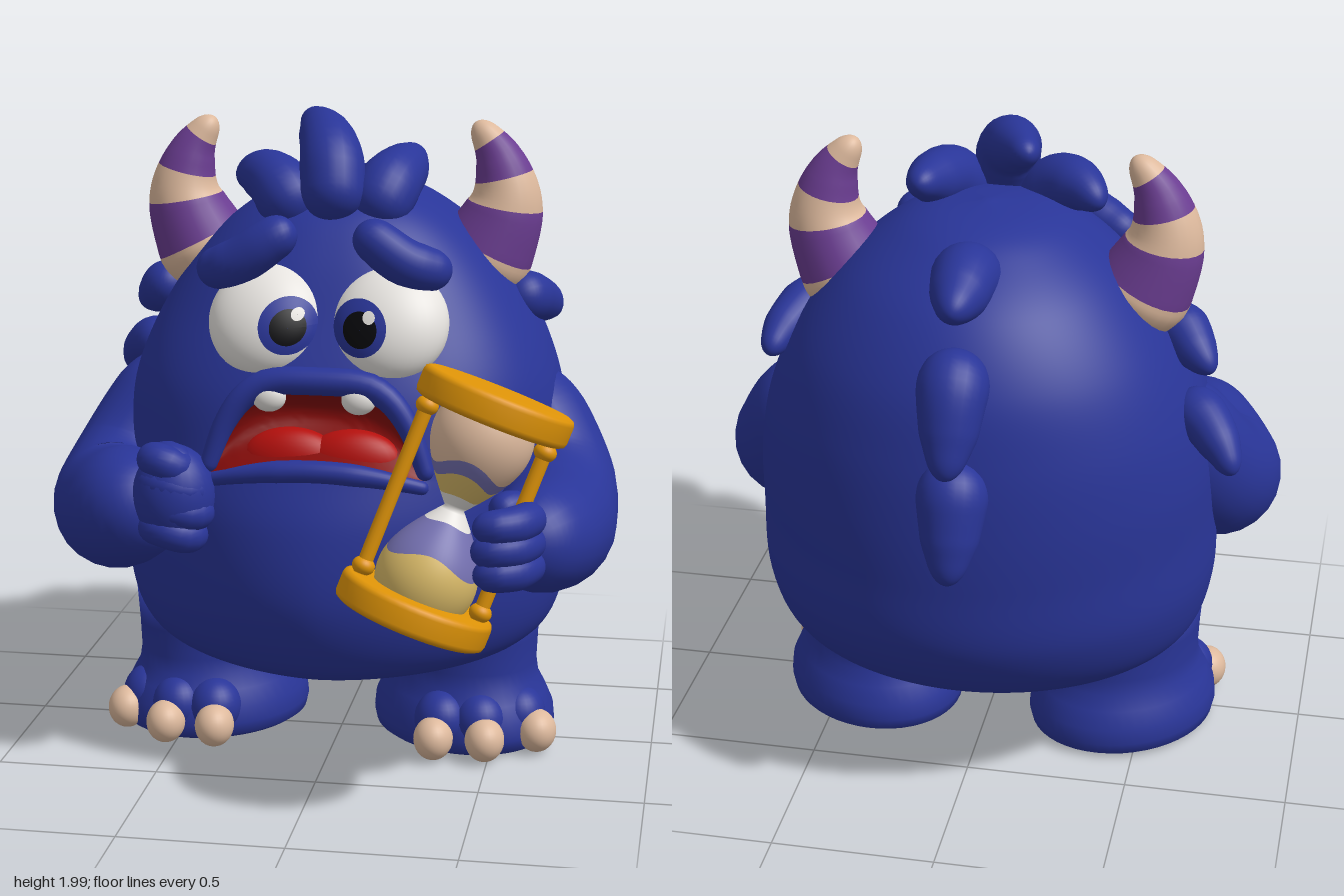
import * as THREE from 'three';
import { mergeVertices } from 'three/addons/utils/BufferGeometryUtils.js';

const V = (p) => new THREE.Vector3(...p);
const paint = (name, color) => {
  const m = new THREE.MeshStandardMaterial({ color });
  m.name = name;
  return m;
};

export function createModel() {
  const model = new THREE.Group();
  const blue = paint('blue fur', 0x293598), tan = paint('horn tan', 0xddb99d);
  const purple = paint('stripe purple', 0x6b3d92), white = paint('eye white', 0xe6e3df);
  const black = paint('pupil black', 0x08080c), red = paint('tongue red', 0xb5100d);
  const darkRed = paint('mouth red', 0x840c0a), gold = paint('frame gold', 0xdf9408);
  const sand = paint('sand', 0xd8b968), lavender = paint('tinted glass', 0x7470b0);

  const add = (name, geo, mat, parent = model) => {
    const m = new THREE.Mesh(geo, mat);
    m.name = name;
    parent.add(m);
    return m;
  };

  // Smooth sheet from f(u, v); band(v) picks the material index of each row
  const grid = (nu, nv, f, band) => {
    const pos = [], idx = [];
    let g = new THREE.BufferGeometry();
    for (let j = 0; j <= nv; j++)
      for (let i = 0; i <= nu; i++) pos.push(...f(i / nu, j / nv));
    for (let j = 0; j < nv; j++) {
      if (band) g.addGroup(idx.length, nu * 6, band((j + 0.5) / nv));
      for (let i = 0; i < nu; i++) {
        const a = j * (nu + 1) + i, c = a + nu + 1;
        idx.push(a, a + 1, c, a + 1, c + 1, c);
      }
    }
    g.setAttribute('position', new THREE.Float32BufferAttribute(pos, 3));
    g.setIndex(idx);
    g = mergeVertices(g, 1e-5);
    g.computeVertexNormals();
    return g;
  };

  // Round-ended tube through points with a changing radius
  const tube = (name, pts, radii, mat, band, nv = 32) => {
    const curve = new THREE.CatmullRomCurve3(pts.map(V));
    const L = curve.getLength(), fr = curve.computeFrenetFrames(200);
    const f = (u, v) => {
      const t = (1 - Math.cos(Math.PI * v)) / 2, k = Math.round(t * 200);
      const s = t * (radii.length - 1), i = Math.min(Math.floor(s), radii.length - 2);
      let r = THREE.MathUtils.lerp(radii[i], radii[i + 1], s - i);
      const d = Math.min(1, (Math.min(t, 1 - t) * L) / r);
      r *= Math.sqrt(Math.max(0, 1 - (1 - d) ** 2));
      const a = (u % 1) * Math.PI * 2;
      return curve.getPointAt(t)
        .addScaledVector(fr.normals[k], r * Math.cos(a))
        .addScaledVector(fr.binormals[k], r * Math.sin(a)).toArray();
    };
    const rowBand = band && ((v) => band((1 - Math.cos(Math.PI * v)) / 2));
    return add(name, grid(24, nv, f, rowBand), mat);
  };

  const ball = (name, p, s, mat, parent = model) => {
    const m = add(name, new THREE.SphereGeometry(1, 28, 20), mat, parent);
    m.position.set(...p);
    m.scale.set(...s);
    return m;
  };

  // Body sections: height, half width, front z, back z
  const rows = [
    [0.25, 0, 0, 0], [0.26, 0.32, 0.22, -0.32], [0.31, 0.54, 0.44, -0.5], [0.4, 0.66, 0.54, -0.67],
    [0.58, 0.71, 0.6, -0.78], [0.8, 0.71, 0.58, -0.8], [1.0, 0.7, 0.51, -0.8], [1.2, 0.66, 0.45, -0.78],
    [1.4, 0.57, 0.355, -0.73], [1.58, 0.44, 0.26, -0.62], [1.7, 0.3, 0.16, -0.47],
    [1.76, 0.17, 0.03, -0.34], [1.785, 0, -0.15, -0.15],
  ];
  const shape = new THREE.CatmullRomCurve3(rows.map((r) => V([r[0], r[1], 0])), false, 'catmullrom');
  const depth = new THREE.CatmullRomCurve3(rows.map((r) => V([r[2], r[3], 0])), false, 'catmullrom');
  const section = (v) => {
    const a = shape.getPoint(v), b = depth.getPoint(v);
    return { y: a.x, w: Math.max(0, a.y), c: (b.x + b.y) / 2, h: Math.max(0, (b.x - b.y) / 2) };
  };
  // The belly front is pointed, the face is broad and flatter
  const frontZ = (s, x) => {
    const p = 1.75 + 0.7 * THREE.MathUtils.smoothstep(s.y, 0.55, 1.35);
    return s.c + s.h * Math.max(0, 1 - Math.min(1, Math.abs(x) / (s.w || 1)) ** p) ** (1 / p);
  };
  const samples = Array.from({ length: 401 }, (_, i) => section(i / 400));
  const bodyZ = (x, y) => frontZ(samples.find((q) => q.y >= y) || samples[400], x);

  // The mouth is a hollow between a bowed upper edge and a flatter lower edge
  const MW = 0.325;
  const lipTop = (x) => 1.22 - 0.25 * Math.abs(x / MW) ** 4;
  const lipLow = (x) => 1.01 - 0.05 * (x / MW) ** 2;
  const hollow = (x, y) => {
    if (Math.abs(x) >= MW) return 0;
    const s = (y - lipLow(x)) / (lipTop(x) - lipLow(x));
    return s <= 0 || s >= 1 ? 0 : 0.13 * 4 * s * (1 - s) * (1 - (x / MW) ** 2);
  };
  add('body', grid(160, 100, (u, v) => {
    const s = section(v), a = (u % 1) * Math.PI * 2;
    const x = s.w * Math.cos(a);
    if (u <= 0.5 || u === 1) return [x, s.y, s.c - s.h * Math.sin(a)];
    return [x, s.y, frontZ(s, x) - hollow(x, s.y)];
  }), blue);
  add('mouthLining', grid(48, 20, (u, v) => {
    const x = (u * 2 - 1) * MW, y = THREE.MathUtils.lerp(lipLow(x), lipTop(x), v);
    return [x, y, bodyZ(x, y) - hollow(x, y) + 0.012];
  }), darkRed);
  for (const x of [-0.085, 0.105]) ball('tongue', [x, 0.995, 0.415], [0.15, 0.1, 0.07], red);
  const lip = (name, edge, dy, dz, r) => tube(name, Array.from({ length: 13 }, (_, i) => {
    const x = (i / 6 - 1) * 0.335, y = edge(x) + dy;
    return [x, y, bodyZ(x, y) + dz];
  }), [r * 0.6, r, r, r * 0.6], blue, null, 48);
  lip('upperLip', lipTop, 0.026, 0.02, 0.042);
  lip('lowerLip', lipLow, -0.025, -0.002, 0.034);
  for (const x of [-0.145, 0.125]) ball('tooth', [x, 1.195, 0.455], [0.052, 0.045, 0.035], white);

  // Eyes lean back with the face; iris and pupil lie on their surface
  for (const [cx, ix] of [[-0.178, -0.098], [0.195, 0.118]]) {
    const cy = 1.395, cz = 0.303, R = [0.178, 0.165, 0.125];
    const lean = (y) => -0.3 * (y - cy);
    const eyeZ = (x, y) => cz + lean(y)
      + R[2] * Math.sqrt(Math.max(0, 1 - ((x - cx) / R[0]) ** 2 - ((y - cy) / R[1]) ** 2));
    const g = new THREE.SphereGeometry(1, 40, 28).scale(...R).translate(cx, cy, cz);
    const bend = (geo, f) => {
      const p = geo.attributes.position;
      for (let i = 0; i < p.count; i++) p.setZ(i, f(p.getX(i), p.getY(i), p.getZ(i)));
      geo.computeVertexNormals();
      return geo;
    };
    add('eyeball', bend(g, (x, y, z) => z + lean(y)), white);
    const disc = (name, x0, y0, r, off, mat) => add(name, bend(
      new THREE.RingGeometry(0.0005, r, 36, 8).translate(x0, y0, 0), (x, y) => eyeZ(x, y) + off), mat);
    disc('iris', ix, 1.4, 0.084, 0.004, blue);
    disc('pupil', ix + 0.003, 1.397, 0.053, 0.007, black);
    disc('eyeGlint', ix + 0.03, 1.435, 0.019, 0.0095, white);
  }
  const brow = [0.055, 0.072, 0.07, 0.06];
  tube('rightBrow', [[-0.39, 1.53, 0.25], [-0.27, 1.57, 0.31], [-0.15, 1.65, 0.32], [-0.09, 1.675, 0.3]], brow, blue);
  tube('leftBrow', [[0.37, 1.545, 0.25], [0.25, 1.58, 0.31], [0.15, 1.65, 0.32], [0.1, 1.685, 0.3]], brow, blue);

  // Striped horns
  const stripe = (t) => ((t > 0.28 && t < 0.53) || (t > 0.68 && t < 0.88) ? 1 : 0);
  for (const s of [-1, 1]) {
    const pts = [[0.37, 1.42], [0.465, 1.57], [0.512, 1.71], [0.485, 1.84], [0.415, 1.95]];
    tube('horn', pts.map(([x, y]) => [s * x - 0.02, y, -0.155]),
      [0.15, 0.152, 0.122, 0.08, 0.03], [tan, purple], stripe, 70);
  }

  // Fur tufts on crown, back and sides
  const tufts = {
    crownTuft: [
      [[0.0, 1.68, 0.17], [-0.02, 1.86, 0.08], [-0.07, 1.92, -0.06], [-0.13, 1.95, -0.2]],
      [[-0.1, 1.66, 0.12], [-0.19, 1.77, 0.05], [-0.26, 1.79, -0.02], [-0.33, 1.77, -0.1]],
      [[0.1, 1.66, 0.12], [0.15, 1.77, 0.04], [0.18, 1.81, -0.08], [0.2, 1.84, -0.22]],
    ],
    backTuft: [
      [[0, 1.62, -0.36], [0, 1.665, -0.48], [0, 1.655, -0.59], [0, 1.645, -0.7]],
      [[-0.01, 1.5, -0.62], [-0.01, 1.42, -0.72], [-0.01, 1.31, -0.78], [-0.01, 1.2, -0.845]],
      [[-0.02, 1.22, -0.73], [-0.02, 1.12, -0.78], [-0.02, 1.0, -0.825], [-0.02, 0.88, -0.875]],
    ],
    sideTuft: [
      [[0.52, 1.42, -0.08], [0.57, 1.4, -0.18], [0.61, 1.365, -0.28], [0.63, 1.325, -0.37]],
      [[-0.53, 1.43, -0.1], [-0.59, 1.41, -0.14], [-0.64, 1.37, -0.2], [-0.695, 1.33, -0.26]],
      [[-0.6, 1.22, -0.22], [-0.68, 1.19, -0.29], [-0.74, 1.14, -0.36], [-0.785, 1.08, -0.42]],
    ],
  };
  const thick = { crownTuft: 0.1, backTuft: 0.105, sideTuft: 0.08 };
  for (const name in tufts) {
    const r = thick[name];
    for (const pts of tufts[name]) tube(name, pts, [r * 0.95, r, r * 0.8, r * 0.35], blue);
  }

  // Arms and hands
  tube('rightArm', [[-0.46, 1.17, -0.14], [-0.58, 1.02, -0.08], [-0.67, 0.85, 0.04], [-0.685, 0.775, 0.2],
    [-0.6, 0.82, 0.37], [-0.46, 0.9, 0.46]], [0.16, 0.19, 0.195, 0.2, 0.185, 0.155], blue, null, 48);
  tube('leftArm', [[0.46, 1.16, -0.16], [0.58, 1.01, -0.1], [0.67, 0.85, 0.02], [0.685, 0.785, 0.2],
    [0.68, 0.8, 0.42], [0.61, 0.83, 0.66]], [0.16, 0.19, 0.195, 0.195, 0.17, 0.13], blue, null, 48);
  ball('rightFist', [-0.43, 0.89, 0.49], [0.125, 0.155, 0.115], blue);
  for (let i = 0; i < 4; i++) {
    const y = 0.775 + i * 0.07, k = [0.02, 0, 0.01, 0.05][i];
    tube('rightFinger', [[-0.52, y + 0.02, 0.49], [-0.45, y + 0.02, 0.545], [-0.365 - k, y, 0.53], [-0.345 - k, y, 0.46]],
      [0.05, 0.054, 0.05], blue, null, 20);
    if (i < 3) tube('leftFinger', [[0.67, y, 0.62], [0.62, y, 0.73], [0.55, y, 0.77], [0.51 + k, y, 0.74]],
      [0.05, 0.055, 0.047], blue, null, 20);
  }
  tube('rightThumb', [[-0.52, 0.95, 0.46], [-0.44, 1.0, 0.5], [-0.38, 0.97, 0.53]], [0.06, 0.058, 0.05], blue, null, 20);
  tube('leftThumb', [[0.66, 0.88, 0.58], [0.6, 0.93, 0.6], [0.55, 0.92, 0.66]], [0.055, 0.05, 0.045], blue, null, 20);

  // Oval legs and feet, with toes turned outward
  const footProfile = [[0, 0], [0.27, 0], [0.292, 0.015], [0.3, 0.05], [0.295, 0.1], [0.27, 0.155],
    [0.245, 0.2], [0.238, 0.25], [0.242, 0.34], [0.25, 0.45], [0, 0.45]].map((p) => new THREE.Vector2(...p));
  for (const s of [-1, 1]) {
    const foot = new THREE.Group();
    foot.name = s > 0 ? 'leftFoot' : 'rightFoot';
    foot.position.set(s * 0.41 - 0.02, 0, -0.07);
    model.add(foot);
    const leg = add('legAndFoot', new THREE.LatheGeometry(footProfile, 48), blue, foot);
    leg.rotation.y = s * 0.7;
    leg.scale.set(0.92, 1, 1.07);
    for (const a of [-0.19, 0.32, 0.92]) {
      const x = Math.sin(a) * s, z = Math.cos(a);
      ball('toe', [x * 0.24, 0.105, z * 0.24], [0.085, 0.09, 0.09], blue, foot);
      ball('toenail', [x * 0.318, 0.068, z * 0.325], [0.062, 0.068, 0.072], tan, foot);
    }
  }

  // Hourglass, tilted between its two end points
  const lo = V([0.31, 0.595, 0.69]), hi = V([0.555, 1.26, 0.56]), glassL = 0.56;
  const hourglass = new THREE.Group();
  hourglass.name = 'hourglass';
  hourglass.position.copy(lo).add(hi).multiplyScalar(0.5);
  hourglass.quaternion.setFromUnitVectors(V([0, 1, 0]), hi.clone().sub(lo).normalize());
  model.add(hourglass);
  const capProfile = [[0, -0.045], [0.215, -0.045], [0.228, -0.038], [0.232, -0.025], [0.232, 0.025],
    [0.228, 0.038], [0.215, 0.045], [0, 0.045]].map((p) => new THREE.Vector2(...p));
  for (const s of [-1, 1])
    add('endCap', new THREE.LatheGeometry(capProfile, 48), gold, hourglass).position.y = s * 0.318;
  for (const a of [0.15, 2.9]) {
    const x = 0.185 * Math.cos(a), z = 0.185 * Math.sin(a);
    add('post', new THREE.CylinderGeometry(0.022, 0.022, 0.58, 14), gold, hourglass).position.set(x, 0, z);
    for (const y of [-0.25, 0.25]) ball('postKnob', [x, y, z], [0.034, 0.028, 0.034], gold, hourglass);
  }
  // Glass bands from bottom to top: sand, tinted, clear, sand, tinted, upper glass; their edges wave
  const edges = [0.22, 0.42, 0.57, 0.66, 0.74], bandMat = [0, 1, 2, 0, 1, 3];
  add('glassBulbs', grid(60, 60, (u, v) => {
    const a = (u % 1) * Math.PI * 2;
    const w = v + 0.035 * Math.sin(3 * a) * Math.sin(2 * Math.PI * v) ** 2;
    const r = 0.03 + 0.12 * Math.sin(2 * Math.abs(2 * w - 1));
    return [r * Math.cos(a), (w - 0.5) * glassL, -r * Math.sin(a)];
  }, (v) => bandMat[edges.filter((e) => v > e).length]), [sand, lavender, white, tan], hourglass);

  return model;
}
